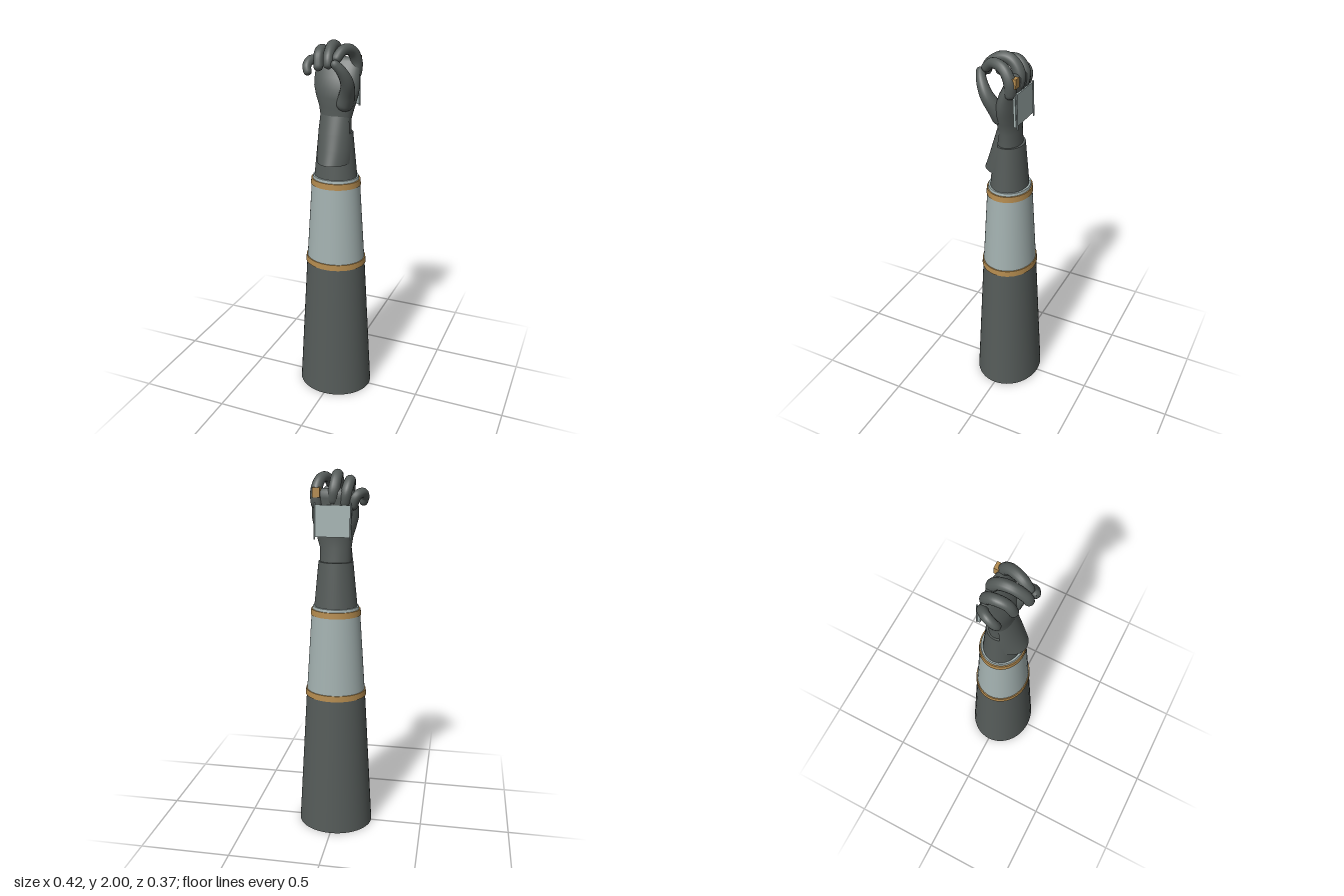
import * as THREE from 'three';
import { mergeVertices } from 'three/addons/utils/BufferGeometryUtils.js';

const material = (color) => new THREE.MeshStandardMaterial({ color, side: THREE.DoubleSide });
const dark = material(0x555b59), light = material(0xa3b1b0), gold = material(0xb38a4e);

function smooth(geometry) {
  geometry.deleteAttribute('uv');
  geometry.deleteAttribute('normal');
  const merged = mergeVertices(geometry, 1e-5);
  merged.computeVertexNormals();
  return merged;
}

// Surface through elliptical sections [y, centreX, centreZ, radiusX, radiusZ], bottom to top
function loft(sections, segments = 32, start = 0, sweep = Math.PI * 2) {
  const pos = [], index = [], row = segments + 1;
  sections.forEach(([y, cx, cz, rx, rz], i) => {
    for (let j = 0; j <= segments; j++) {
      const a = start + sweep * j / segments;
      pos.push(cx + rx * Math.sin(a), y, cz + rz * Math.cos(a));
      if (i && j) {
        const d = i * row + j, c = d - 1, b = d - row, e = b - 1;
        index.push(e, b, d, e, d, c);
      }
    }
  });
  const geometry = new THREE.BufferGeometry();
  geometry.setAttribute('position', new THREE.Float32BufferAttribute(pos, 3));
  geometry.setIndex(index);
  return smooth(geometry);
}

// Tapered tube with rounded ends
function digit(points, r0, r1) {
  const curve = new THREE.CatmullRomCurve3(points.map((p) => new THREE.Vector3(...p)));
  const n = 36, sides = 14, length = curve.getLength();
  const geometry = new THREE.TubeGeometry(curve, n, 1, sides);
  const pos = geometry.attributes.position, v = new THREE.Vector3();
  for (let i = 0; i <= n; i++) {
    const t = i / n, centre = curve.getPointAt(t);
    const r = THREE.MathUtils.lerp(r0, r1, t);
    const edge = Math.min(1, Math.min(t, 1 - t) * length / r);
    const radius = Math.max(0.001, r * Math.sqrt(1 - (1 - edge) ** 2));
    for (let j = 0; j <= sides; j++) {
      const k = i * (sides + 1) + j;
      v.fromBufferAttribute(pos, k).sub(centre).multiplyScalar(radius).add(centre);
      pos.setXYZ(k, v.x, v.y, v.z);
    }
  }
  return smooth(geometry);
}

export function createModel() {
  const model = new THREE.Group();
  const add = (name, geometry, mat, parent = model) => {
    const mesh = new THREE.Mesh(geometry, mat);
    mesh.name = name;
    parent.add(mesh);
    return mesh;
  };
  // Oval, tapered piece of sleeve
  const oval = (name, y0, y1, r0, r1, mat, ratio = 0.89) => {
    const mesh = add(name, new THREE.CylinderGeometry(r1, r0, y1 - y0, 48), mat);
    mesh.position.y = (y0 + y1) / 2;
    mesh.scale.z = ratio;
  };

  // Sleeves, trim and forearm
  oval('upperSleeve', 0, 0.79, 0.21, 0.163, dark);
  oval('lightSleeve', 0.775, 1.27, 0.163, 0.13, light);
  oval('lightSleeveRim', 1.27, 1.29, 0.127, 0.123, light);
  oval('lowerBand', 0.788, 0.82, 0.169, 0.166, gold);
  oval('upperBand', 1.243, 1.275, 0.136, 0.133, gold);
  oval('forearm', 1.28, 1.53, 0.117, 0.092, dark, 0.85);

  // Glove cuff flaring at the inner wrist
  const spread = 1.25;
  add('gloveFlap', loft([
    [1.375, 0.003, 0, 0.096, 0.133],
    [1.45, 0.002, 0, 0.098, 0.107],
    [1.53, 0, 0, 0.092, 0.083],
    [1.62, 0, 0, 0.083, 0.054],
  ], 24, -spread, spread * 2), dark);

  // Hand
  const hand = new THREE.Group();
  hand.name = 'hand';
  model.add(hand);
  add('palm', loft([
    [1.50, 0, -0.005, 0.083, 0.062],
    [1.60, 0, -0.003, 0.083, 0.056],
    [1.66, 0.004, -0.003, 0.096, 0.056],
    [1.71, 0.004, -0.003, 0.112, 0.06],
    [1.76, 0.002, -0.008, 0.123, 0.058],
    [1.81, 0.0, -0.018, 0.122, 0.05],
    [1.86, -0.002, -0.034, 0.118, 0.04],
    [1.89, -0.002, -0.042, 0.105, 0.03],
    [1.905, -0.002, -0.045, 0.08, 0.015],
    [1.91, -0.002, -0.045, 0.001, 0.001],
  ]), dark, hand);

  const digits = {
    indexFinger: [[[0.085, 1.80, -0.04], [0.094, 1.885, -0.045], [0.082, 1.945, -0.005],
      [0.06, 1.955, 0.06], [0.04, 1.905, 0.12]], 0.033, 0.024],
    middleFinger: [[[0.01, 1.82, -0.04], [0.0, 1.90, -0.05], [-0.005, 1.958, -0.01],
      [-0.003, 1.968, 0.045], [0.005, 1.925, 0.11], [0.012, 1.87, 0.125]], 0.033, 0.025],
    ringFinger: [[[-0.05, 1.81, -0.04], [-0.064, 1.89, -0.048], [-0.073, 1.94, -0.005],
      [-0.068, 1.93, 0.055], [-0.058, 1.85, 0.09]], 0.032, 0.024],
    littleFinger: [[[-0.085, 1.80, -0.035], [-0.112, 1.868, -0.042], [-0.139, 1.885, -0.008],
      [-0.146, 1.86, 0.03], [-0.131, 1.815, 0.045]], 0.029, 0.021],
    thumb: [[[0.04, 1.65, 0.01], [0.075, 1.73, 0.04], [0.092, 1.80, 0.08],
      [0.075, 1.865, 0.115], [0.035, 1.915, 0.142]], 0.05, 0.02],
  };
  for (const [name, [points, r0, r1]] of Object.entries(digits)) add(name, digit(points, r0, r1), dark, hand);

  // Plate on the back of the hand, held by two rods
  const guard = new THREE.Group();
  guard.name = 'handGuard';
  guard.position.set(0.003, 1.745, -0.073);
  guard.rotation.x = 0.04;
  model.add(guard);
  add('guardPlate', new THREE.BoxGeometry(0.195, 0.16, 0.012), light, guard);
  for (const side of [-1, 1]) {
    const rod = add('guardRod', new THREE.CylinderGeometry(0.004, 0.004, 0.185, 10), light, guard);
    rod.position.set(side * 0.093, 0, -0.012);
  }

  // Gold stud on the index knuckle
  add('knuckleStud', new THREE.BoxGeometry(0.038, 0.048, 0.026), gold).position.set(0.088, 1.888, -0.07);
  return model;
}
